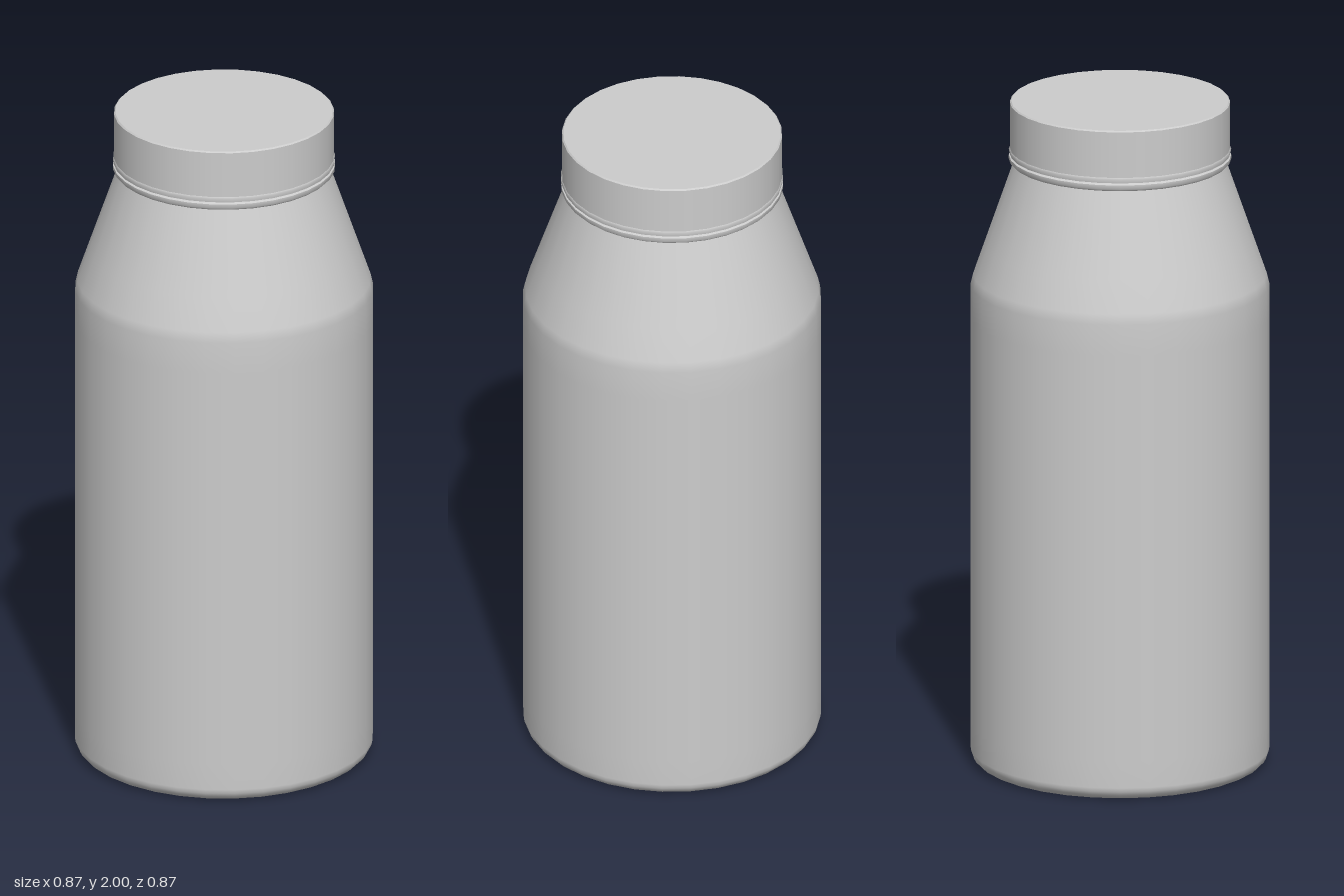
import * as THREE from 'three';
import { mergeGeometries } from 'three/addons/utils/BufferGeometryUtils.js';

const SEGMENTS = 32;

// Revolve smooth profile sections (bottom to top); edges between sections stay sharp.
function revolve(name, material, sections) {
  const lathes = sections.map((points) => new THREE.LatheGeometry(
    points.map(([r, y]) => new THREE.Vector2(r, y)), SEGMENTS));
  const mesh = new THREE.Mesh(mergeGeometries(lathes), material);
  mesh.name = name;
  return mesh;
}

export function createModel() {
  const plastic = new THREE.MeshStandardMaterial({ color: 0xcccccc });
  plastic.name = 'light grey plastic';

  const group = new THREE.Group();
  group.name = 'bottle';

  // Rounded foot: quarter circle from the flat base into the wall
  const foot = [];
  for (let i = 0; i <= 5; i++) {
    const a = (i / 5) * Math.PI / 2;
    foot.push([0.395 + 0.04 * Math.sin(a), 0.04 - 0.04 * Math.cos(a)]);
  }

  // Body with straight wall, softly turned shoulder and hidden neck
  group.add(revolve('body', plastic, [
    [[0, 0], [0.3, 0], ...foot, [0.435, 0.12], [0.435, 1.35], [0.435, 1.445],
      [0.428, 1.475], [0.395, 1.57], [0.31, 1.815]],
    [[0.31, 1.815], [0.3, 1.83], [0.3, 1.9]],
  ]));

  // Tamper ring under the cap
  group.add(revolve('tamperRing', plastic, [
    [[0.3, 1.817], [0.317, 1.817]],
    [[0.317, 1.817], [0.324, 1.824], [0.324, 1.836]],
    [[0.324, 1.836], [0.312, 1.842], [0.3, 1.842]],
  ]));

  // Cap with a flared lower lip and a tiny edge bevel
  group.add(revolve('cap', plastic, [
    [[0.3, 1.842], [0.322, 1.842]],
    [[0.322, 1.842], [0.324, 1.853], [0.321, 1.858]],
    [[0.321, 1.858], [0.321, 1.996]],
    [[0.321, 1.996], [0.317, 2]],
    [[0.317, 2], [0, 2]],
  ]));

  return group;
}
